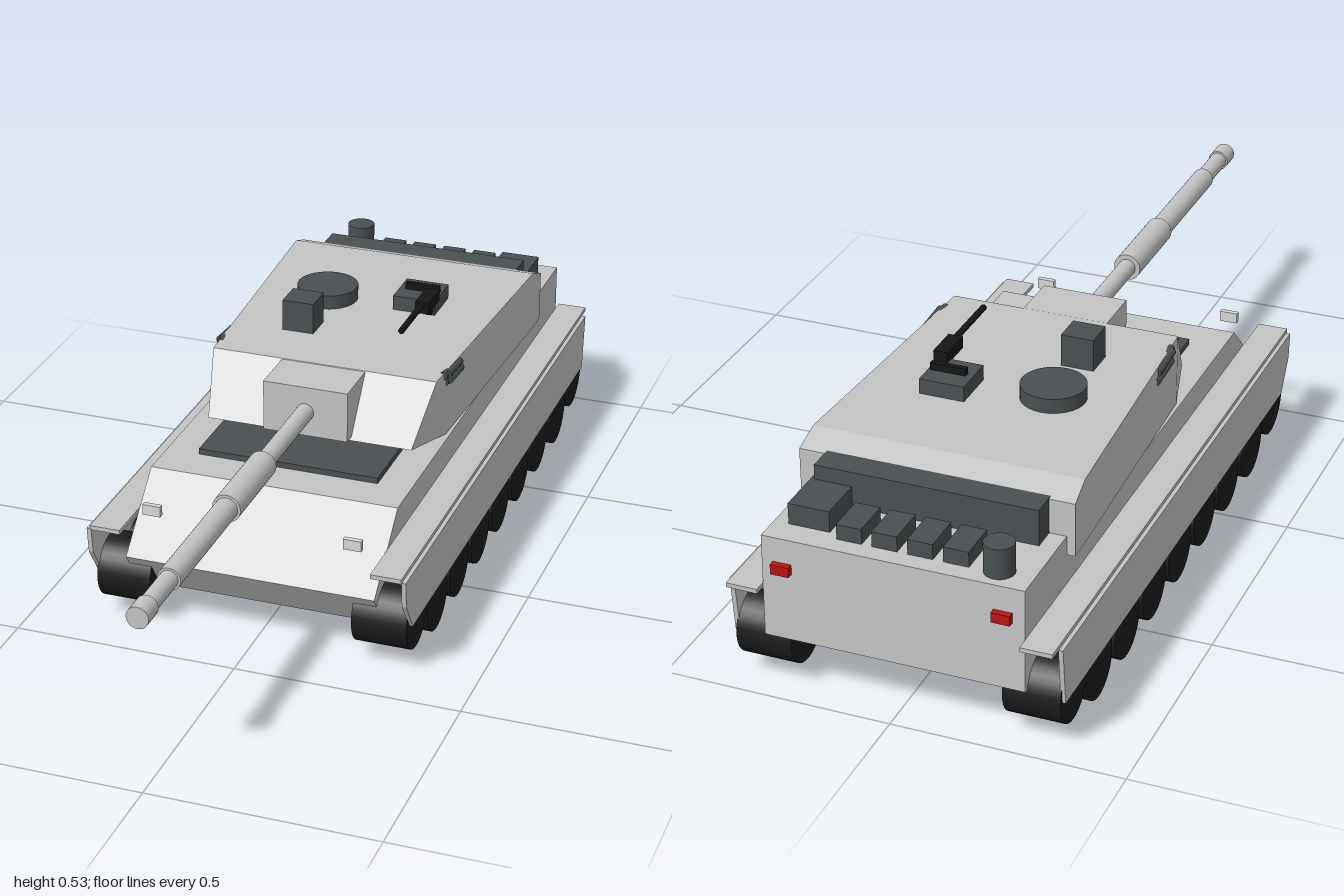
import * as THREE from 'three';

const mat = (name, color) => {
  const m = new THREE.MeshStandardMaterial({ color });
  m.name = name;
  return m;
};

export function createModel() {
  const grey = mat('light grey armour', 0xc4c4c4);
  const slate = mat('dark slate fittings', 0x4a5052);
  const rubber = mat('black rubber', 0x1c1c1c);
  const black = mat('gun black', 0x161616);
  const red = mat('tail light red', 0xb81414);
  const lamp = mat('headlight', 0xd8d8d8);

  const model = new THREE.Group();
  model.name = 'tank';

  const add = (name, geo, material, x = 0, y = 0, z = 0) => {
    const mesh = new THREE.Mesh(geo, material);
    mesh.name = name;
    mesh.position.set(x, y, z);
    model.add(mesh);
    return mesh;
  };
  // Box given by its min and max on each axis
  const box = (name, material, x0, x1, y0, y1, z0, z1) =>
    add(name, new THREE.BoxGeometry(x1 - x0, y1 - y0, z1 - z0), material,
      (x0 + x1) / 2, (y0 + y1) / 2, (z0 + z1) / 2);
  // Side profile of [z, y] points, extruded across x
  const slab = (name, material, points, width, x = 0) => {
    const shape = new THREE.Shape(points.map(([z, y]) => new THREE.Vector2(z, y)));
    const geo = new THREE.ExtrudeGeometry(shape, { depth: width, bevelEnabled: false });
    geo.translate(0, 0, -width / 2).rotateY(-Math.PI / 2);
    return add(name, geo, material, x);
  };

  // Hull with sloped nose and raised engine deck
  slab('hull', grey, [
    [0.35, 0.083], [0.41, 0.17], [0.26, 0.314], [-0.752, 0.314],
    [-0.752, 0.358], [-0.97, 0.358], [-0.975, 0.13], [-0.87, 0.083],
  ], 0.56);

  // Turret from cross-sections: [zTop, xTop, yTop, zBottom, xBottom, yBottom]
  const sections = [
    [0.035, 0.236, 0.334, 0.035, 0.236, 0.334],
    [-0.062, 0.26, 0.458, -0.1, 0.272, 0.316],
    [-0.695, 0.295, 0.458, -0.695, 0.297, 0.316],
    [-0.755, 0.298, 0.435, -0.755, 0.298, 0.316],
  ];
  const rings = sections.map(([zt, xt, yt, zb, xb, yb]) =>
    [[xt, yt, zt], [-xt, yt, zt], [-xb, yb, zb], [xb, yb, zb]]);
  const verts = [];
  const quad = (a, b, c, d) => verts.push(...a, ...b, ...c, ...a, ...c, ...d);
  for (let i = 0; i < rings.length - 1; i++) {
    for (let j = 0; j < 4; j++) {
      const k = (j + 1) % 4;
      quad(rings[i][j], rings[i + 1][j], rings[i + 1][k], rings[i][k]);
    }
  }
  const last = rings[rings.length - 1];
  quad(last[0], last[3], last[2], last[1]);
  const turret = new THREE.BufferGeometry();
  turret.setAttribute('position', new THREE.Float32BufferAttribute(verts, 3));
  turret.computeVertexNormals();
  add('turret', turret, grey);

  // Main gun and its mantlet
  box('mantlet', grey, -0.097, 0.097, 0.341, 0.457, -0.06, 0.058);
  const barrel = [
    [0.02, 0.05, 0.32], [0.031, 0.32, 0.53], [0.025, 0.53, 0.84],
    [0.02, 0.84, 0.95], [0.024, 0.95, 1.0],
  ];
  barrel.forEach(([r, z0, z1]) => {
    const geo = new THREE.CylinderGeometry(r, r, z1 - z0, 24).rotateX(Math.PI / 2);
    add('gunBarrel', geo, grey, 0, 0.398, (z0 + z1) / 2);
  });

  // Running gear, fenders, skirts, lamps and smoke launchers on both sides
  for (const s of [-1, 1]) {
    const wheel = (name, y, z) => add(name,
      new THREE.CylinderGeometry(0.072, 0.072, 0.122, 32).rotateZ(Math.PI / 2),
      rubber, s * 0.289, y, z);
    wheel('frontSprocket', 0.107, 0.335);
    wheel('rearSprocket', 0.107, -0.895);
    for (let i = 0; i < 7; i++) wheel('roadWheel', 0.072, 0.192 - i * 0.158);

    add('fender', new THREE.BoxGeometry(0.068, 0.01, 1.44), grey, s * 0.314, 0.244, -0.28);
    slab('sideSkirt', grey, [
      [0.385, 0.11], [0.43, 0.18], [0.437, 0.24], [-0.968, 0.24], [-0.955, 0.11],
    ], 0.01, s * 0.352);

    add('headlight', new THREE.BoxGeometry(0.04, 0.024, 0.012), lamp, s * 0.225, 0.283, 0.388);
    add('tailLight', new THREE.BoxGeometry(0.04, 0.022, 0.014), red, s * 0.235, 0.294, -0.98);

    for (let i = 0; i < 4; i++) {
      const tube = add('smokeLauncher', new THREE.CylinderGeometry(0.009, 0.009, 0.09, 12), slate,
        s * (0.261 + (i % 2) * 0.006), 0.43 + (i >> 1) * 0.018, -0.16 + (i >> 1) * 0.008 - (i % 2) * 0.012);
      tube.rotation.x = Math.PI / 2 - 0.08;
    }
  }

  // Hull front hatch plate
  box('driverPlate', slate, -0.205, 0.205, 0.31, 0.327, 0, 0.17);

  // Engine deck fittings
  box('rearStowage', slate, -0.243, 0.24, 0.356, 0.438, -0.808, -0.735);
  for (let i = 0; i < 4; i++) {
    const x = -0.12 + i * 0.076;
    box('engineVent', slate, x - 0.027, x + 0.027, 0.355, 0.392, -0.93, -0.84);
  }
  box('toolBox', slate, 0.158, 0.248, 0.355, 0.405, -0.912, -0.78);
  add('exhaustStack', new THREE.CylinderGeometry(0.032, 0.032, 0.07, 24), slate, -0.207, 0.39, -0.92);

  // Roof fittings
  add('commanderHatch', new THREE.CylinderGeometry(0.07, 0.07, 0.035, 32), slate, -0.113, 0.473, -0.408);
  box('roofSight', slate, -0.149, -0.076, 0.456, 0.53, -0.275, -0.205);
  box('loaderHatch', slate, 0.05, 0.15, 0.456, 0.492, -0.495, -0.392);

  // Roof machine gun
  box('gunMount', black, 0.065, 0.145, 0.492, 0.508, -0.45, -0.438);
  box('gunPost', black, 0.133, 0.147, 0.465, 0.5, -0.39, -0.375);
  box('gunBody', black, 0.123, 0.155, 0.488, 0.515, -0.41, -0.33);
  add('machineGunBarrel', new THREE.CylinderGeometry(0.007, 0.007, 0.155, 12).rotateX(Math.PI / 2),
    black, 0.139, 0.509, -0.258);

  return model;
}
